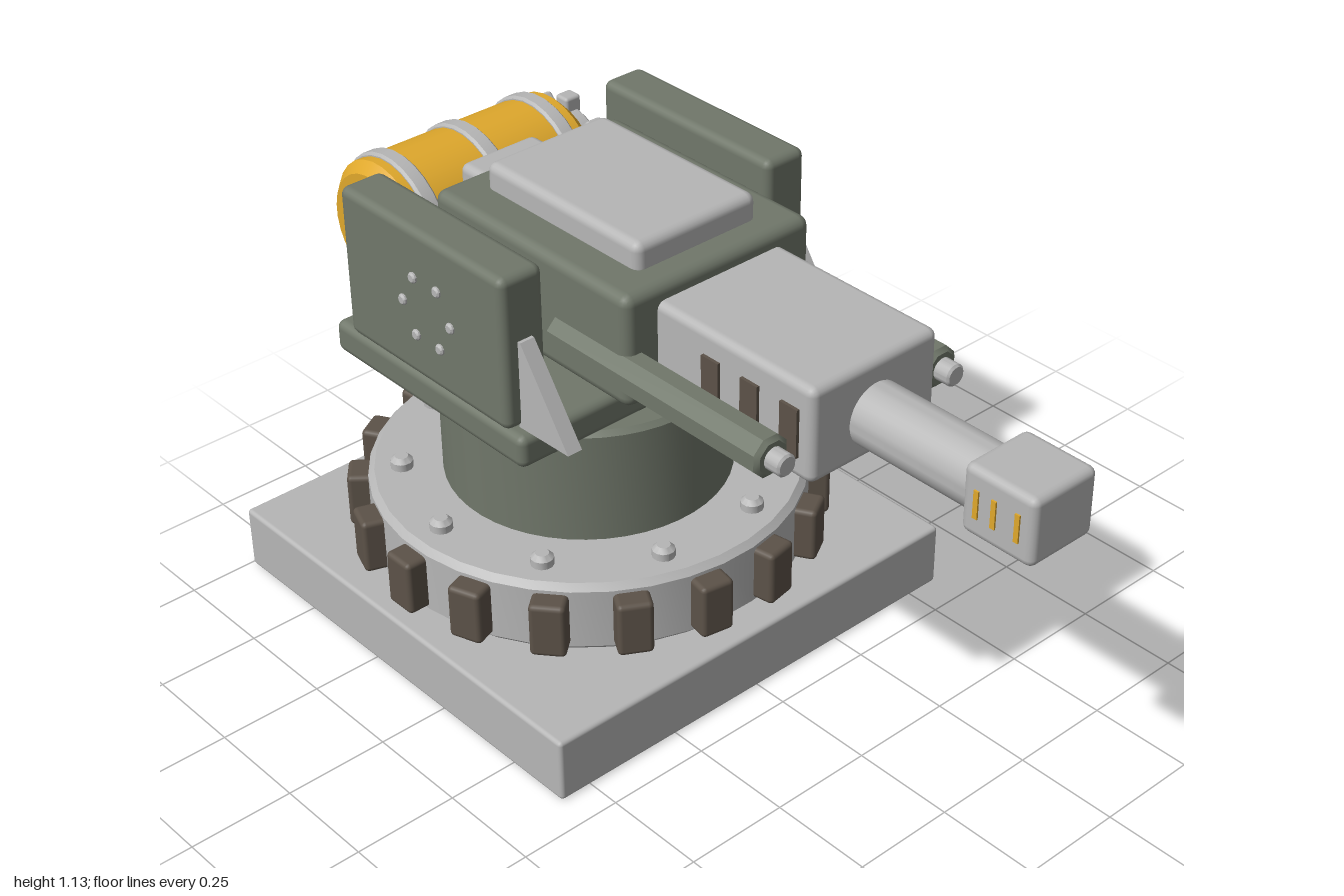
import * as THREE from 'three';
import { toCreasedNormals } from 'three/addons/utils/BufferGeometryUtils.js';
import { RoundedBoxGeometry } from 'three/addons/geometries/RoundedBoxGeometry.js';

const mat = (name, color) => {
  const m = new THREE.MeshStandardMaterial({ color });
  m.name = name;
  return m;
};

export function createModel() {
  const green = mat('olive green', 0x70776a);
  const grey = mat('light grey', 0xb6b6b6);
  const brown = mat('dark brown', 0x5c5248);
  const yellow = mat('tank yellow', 0xdfa82c);

  const model = new THREE.Group();
  model.name = 'turret';
  const CZ = -0.413; // turning axis

  const add = (name, geo, material, x, y, z, parent = model) => {
    const mesh = new THREE.Mesh(geo, material);
    mesh.name = name;
    mesh.position.set(x, y, z);
    parent.add(mesh);
    return mesh;
  };

  // Box with rounded edges, given by its limits on each axis
  const box = (name, material, [x0, x1], [y0, y1], [z0, z1], r = 0.015) =>
    add(name, new RoundedBoxGeometry(x1 - x0, y1 - y0, z1 - z0, 2, r), material,
      (x0 + x1) / 2, (y0 + y1) / 2, (z0 + z1) / 2);

  // Bevelled cylinder along y (centred), optionally laid along x or z
  const drum = (r, h, bevel, sides, axis = 'y') => {
    const pts = [[0, -h / 2], [r - bevel, -h / 2], [r, -h / 2 + bevel],
      [r, h / 2 - bevel], [r - bevel, h / 2], [0, h / 2]];
    let geo = new THREE.LatheGeometry(pts.map(p => new THREE.Vector2(...p)), sides);
    geo.rotateY(Math.PI / sides);
    if (axis === 'x') geo.rotateZ(-Math.PI / 2);
    if (axis === 'z') geo.rotateX(Math.PI / 2);
    return toCreasedNormals(geo, 0.6);
  };

  // Base slab, ring and column
  box('baseSlab', grey, [-0.583, 0.583], [0, 0.16], [-0.996, 0.17], 0.01);
  add('ringFoot', drum(0.3, 0.03, 0.002, 32), grey, 0, 0.165, CZ);
  add('baseRing', drum(0.515, 0.18, 0.015, 36), grey, 0, 0.255, CZ);
  add('column', drum(0.34, 0.31, 0.012, 48), green, 0, 0.475, CZ);

  // Grip blocks around the ring
  const blockGeo = new RoundedBoxGeometry(0.075, 0.137, 0.083, 2, 0.012);
  for (let i = 0; i < 18; i++) {
    const a = i * Math.PI / 9;
    add('ringBlock', blockGeo, brown, Math.cos(a) * 0.527, 0.253, CZ + Math.sin(a) * 0.527)
      .rotation.y = -a;
  }
  // Domed bolts on the ring
  const boltGeo = drum(0.027, 0.045, 0.011, 12);
  for (let i = 0; i < 10; i++) {
    const a = i * Math.PI / 5;
    add('ringBolt', boltGeo, grey, Math.cos(a) * 0.435, 0.352, CZ + Math.sin(a) * 0.435);
  }

  // Turning platform and gun body
  box('platform', green, [-0.427, 0.427], [0.645, 0.725], [-0.78, -0.115], 0.02);
  box('body', green, [-0.263, 0.263], [0.8, 1.07], [-0.6, 0.04], 0.025);
  box('topHatch', grey, [-0.17, 0.17], [1.05, 1.132], [-0.53, -0.03], 0.022);
  box('tankMount', grey, [-0.108, 0.108], [0.9, 1.035], [-0.71, -0.58], 0.02);

  // Main gun
  box('gunHousing', grey, [-0.178, 0.178], [0.805, 1.032], [0, 0.497], 0.02);
  add('barrel', drum(0.073, 0.4, 0.005, 32, 'z'), grey, 0, 0.905, 0.65);
  box('muzzle', grey, [-0.09, 0.09], [0.83, 0.99], [0.815, 1], 0.018);

  // Triangular brace cross-section: shape x is z, shape y is y
  const braceShape = new THREE.Shape([[-0.16, 0.725], [0, 0.73], [-0.145, 0.94], [-0.16, 0.94]]
    .map(p => new THREE.Vector2(...p)));
  const braceGeo = new THREE.ExtrudeGeometry(braceShape, { depth: 0.038, bevelEnabled: false });
  braceGeo.translate(0, 0, -0.019);
  braceGeo.rotateY(-Math.PI / 2);

  const sideBoltGeo = drum(0.013, 0.016, 0.004, 10, 'x');
  const hubBoltGeo = drum(0.022, 0.035, 0.006, 8, 'x');
  for (const s of [-1, 1]) {
    const span = (a, b) => (s > 0 ? [a, b] : [-b, -a]);

    // Armour plate, brace and pivot hub
    box('sidePlate', green, span(0.318, 0.433), [0.727, 1.097], [-0.71, -0.153], 0.02);
    add('plateBrace', braceGeo, grey, s * 0.376, 0, 0);
    add('pivotHub', drum(0.092, 0.09, 0.006, 24, 'x'), grey, s * 0.285, 0.908, CZ);
    for (let i = 0; i < 6; i++) {
      const a = i * Math.PI / 3;
      const c = Math.cos(a), n = Math.sin(a);
      add('plateBolt', sideBoltGeo, grey, s * 0.433, 0.908 + n * 0.082, CZ + c * 0.082);
      add('hubBolt', hubBoltGeo, grey, s * 0.278, 0.908 + n * 0.116, CZ + c * 0.116);
    }

    // Secondary barrel
    add('sideBarrel', drum(0.049, 0.655, 0.01, 8, 'z'), green, s * 0.242, 0.886, 0.127);
    add('sideBarrelTip', drum(0.026, 0.09, 0.005, 16, 'z'), grey, s * 0.242, 0.886, 0.45);

    // Housing vents and muzzle slots
    for (const z of [0.205, 0.32, 0.435])
      add('housingVent', new THREE.BoxGeometry(0.009, 0.115, 0.05), brown, s * 0.181, 0.917, z);
    for (const z of [0.855, 0.9, 0.96])
      add('muzzleSlot', new THREE.BoxGeometry(0.006, 0.065, 0.012), yellow, s * 0.091, 0.911, z);
  }

  // Rear tank lying along x, with bands and a bolted cap on the left end
  const tank = new THREE.Group();
  tank.name = 'rearTank';
  tank.position.set(0, 0.873, -0.822);
  model.add(tank);
  add('tankShell', drum(0.165, 0.548, 0.025, 28, 'x'), yellow, 0, 0, 0, tank);
  for (const x of [-0.206, 0, 0.206])
    add('tankBand', drum(0.174, 0.042, 0.006, 28, 'x'), grey, x, 0, 0, tank);
  add('tankCap', drum(0.118, 0.07, 0.008, 24, 'x'), grey, 0.288, 0, 0, tank);
  const lugGeo = new RoundedBoxGeometry(0.045, 0.042, 0.046, 2, 0.008);
  for (let i = 0; i < 8; i++) {
    const a = i * Math.PI / 4;
    add('capLug', lugGeo, grey, 0.306, Math.sin(a) * 0.127, Math.cos(a) * 0.127, tank)
      .rotation.x = -a;
  }
  return model;
}
